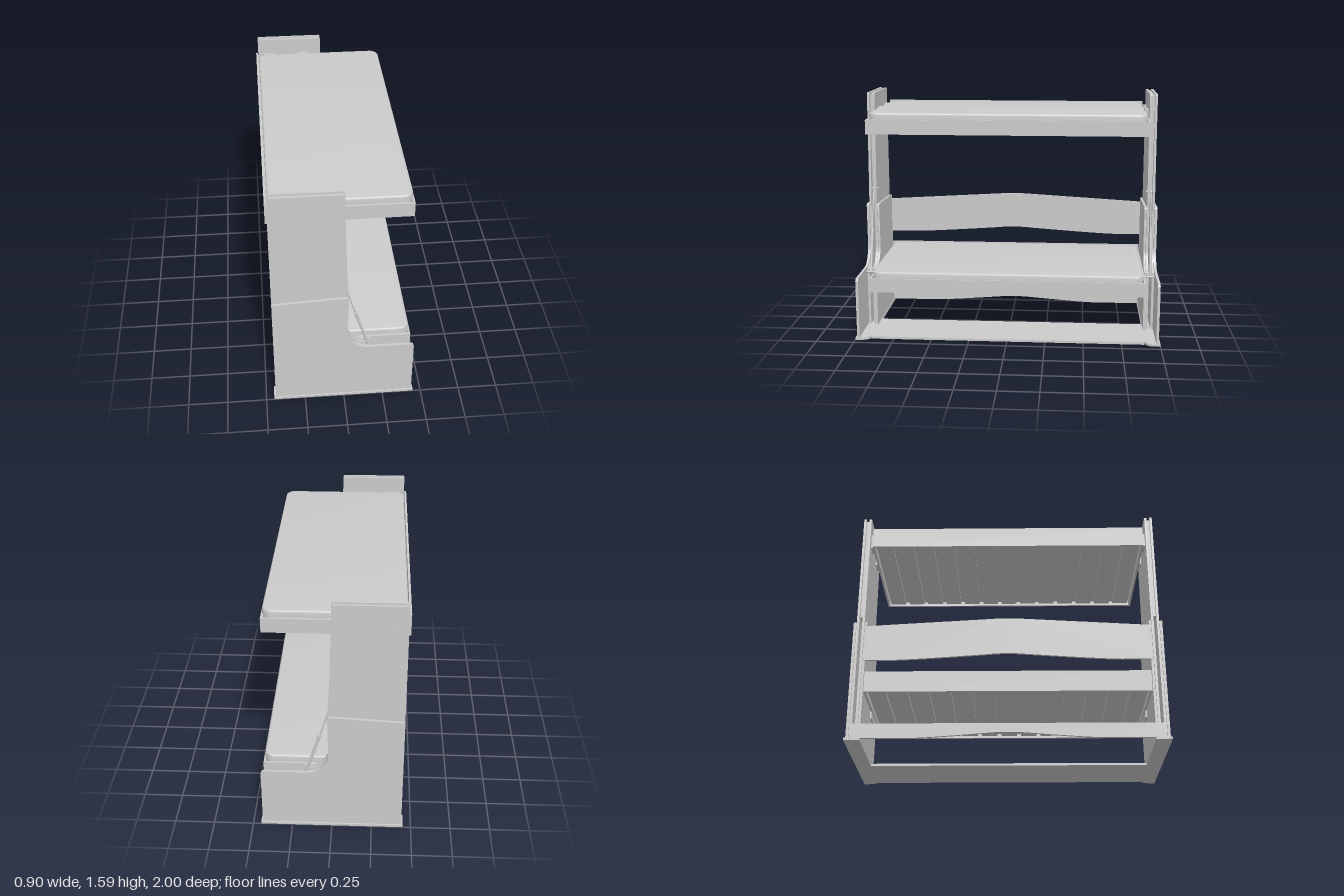
import * as THREE from 'three';
import { toCreasedNormals } from 'three/addons/utils/BufferGeometryUtils.js';

const material = new THREE.MeshStandardMaterial({ color: 0xcccccc });

function add(parent, name, geometry, x = 0, y = 0, z = 0) {
  const mesh = new THREE.Mesh(geometry, material);
  mesh.name = name;
  mesh.position.set(x, y, z);
  parent.add(mesh);
  return mesh;
}

// Box given by its limits on each axis
function box(parent, name, [x0, x1], [y0, y1], [z0, z1]) {
  return add(parent, name, new THREE.BoxGeometry(x1 - x0, y1 - y0, z1 - z0),
    (x0 + x1) / 2, (y0 + y1) / 2, (z0 + z1) / 2);
}

function extrude(shape, depth, bevel = 0) {
  return toCreasedNormals(new THREE.ExtrudeGeometry(shape, {
    depth, curveSegments: 10, bevelEnabled: bevel > 0,
    bevelSize: bevel, bevelThickness: bevel, bevelOffset: -bevel, bevelSegments: 4,
  }), 0.5);
}

// Round bar between two points
function rod(parent, name, a, b, radius) {
  const from = new THREE.Vector3(...a), to = new THREE.Vector3(...b);
  const dir = to.clone().sub(from);
  const mesh = add(parent, name, new THREE.CylinderGeometry(radius, radius, dir.length(), 16));
  mesh.position.copy(from).add(to).multiplyScalar(0.5);
  mesh.quaternion.setFromUnitVectors(new THREE.Vector3(0, 1, 0), dir.normalize());
}

// Lower cheek: tall at the back, scooped down to an armrest in front
function cheekShape(frontX, rounded) {
  const s = new THREE.Shape();
  s.moveTo(-0.44, 0.015);
  s.lineTo(frontX, 0.015);
  if (rounded) {
    s.lineTo(frontX, 0.39);
    s.quadraticCurveTo(frontX, 0.415, frontX - 0.025, 0.415);
  } else s.lineTo(frontX, 0.415);
  s.lineTo(0.155, 0.415);
  s.bezierCurveTo(0.08, 0.415, 0.02, 0.47, 0.02, 0.55);
  s.lineTo(0.026, 0.815);
  s.quadraticCurveTo(0.026, 0.832, 0, 0.831);
  s.lineTo(-0.44, 0.805);
  return s;
}

// Upright: runs from the base up to the top bunk
function uprightShape() {
  const s = new THREE.Shape();
  s.moveTo(-0.44, 0.015);
  s.lineTo(0.15, 0.015);
  s.lineTo(0.15, 0.405);
  s.bezierCurveTo(0.075, 0.41, 0.018, 0.47, 0.018, 0.55);
  s.lineTo(0.025, 0.83);
  s.lineTo(0.012, 1.1);
  s.lineTo(0.002, 1.4);
  s.lineTo(0, 1.578);
  s.quadraticCurveTo(0, 1.587, -0.008, 1.587);
  s.lineTo(-0.432, 1.587);
  s.quadraticCurveTo(-0.44, 1.587, -0.44, 1.578);
  return s;
}

function baseShape() {
  const s = new THREE.Shape();
  s.moveTo(-0.45, -0.05);
  s.lineTo(0.39, -0.05);
  s.quadraticCurveTo(0.45, -0.05, 0.45, 0.02);
  s.lineTo(0.45, 0.05);
  s.lineTo(-0.45, 0.05);
  return s;
}

function createEnd(side) {
  const end = new THREE.Group();
  end.name = side > 0 ? 'frontEnd' : 'rearEnd';
  const span = (a, b) => (side > 0 ? [a, b] : [-b, -a]);
  const plate = (name, shape, a, b) => add(end, name, extrude(shape, b - a), 0, 0, span(a, b)[0]);

  plate('outerCheek', cheekShape(0.44, true), 0.973, 0.99);
  plate('outerUpright', uprightShape(), 0.955, 0.971);
  plate('innerUpright', uprightShape(), 0.92, 0.936);
  plate('innerCheek', cheekShape(0.175, false), 0.903, 0.918);
  box(end, 'uprightSpacer', [-0.42, -0.03], [0.85, 1.575], span(0.936, 0.955));

  // Foot plate, rounded at its inner front corner
  const foot = add(end, 'footPlate', extrude(baseShape(), 0.015), 0, 0, side * 0.95);
  foot.rotation.x = side > 0 ? Math.PI / 2 : -Math.PI / 2;
  foot.position.y = side > 0 ? 0.015 : 0;

  // Bolt heads and the brackets they hold
  const bolts = [[-0.35, 1.46, 0.971], [-0.37, 1.405, 0.971], [-0.12, 1.46, 0.971],
    [-0.14, 1.405, 0.971], [-0.005, 0.935, 0.971], [-0.245, 0.395, 0.99]];
  for (const [x, y, z] of bolts) {
    rod(end, 'bolt', [x, y, side * (z - 0.06)], [x, y, side * (z + 0.002)], 0.008);
  }
  for (const x of [-0.36, -0.13]) {
    box(end, 'bunkBracket', [x - 0.04, x + 0.04], [1.385, 1.48], span(0.895, 0.92));
  }
  box(end, 'lowerBracket', [-0.1, 0.15], [0.275, 0.325], span(0.893, 0.904));

  // Gas strut in the slot between the uprights
  const z = side * 0.945;
  rod(end, 'strutPiston', [-0.005, 0.935, z], [0.08, 0.64, z], 0.005);
  rod(end, 'strutCollar', [0.073, 0.67, z], [0.083, 0.637, z], 0.011);
  rod(end, 'strutBody', [0.08, 0.65, z], [0.16, 0.385, z], 0.009);
  rod(end, 'strutPin', [0.16, 0.385, side * 0.905], [0.16, 0.385, side * 0.98], 0.007);
  return end;
}

function roundedRect(w, h, r) {
  const s = new THREE.Shape(), x = w / 2, y = h / 2;
  s.absarc(x - r, y - r, r, 0, Math.PI / 2);
  s.absarc(r - x, y - r, r, Math.PI / 2, Math.PI);
  s.absarc(r - x, r - y, r, Math.PI, Math.PI * 1.5);
  s.absarc(x - r, r - y, r, Math.PI * 1.5, Math.PI * 2);
  return s;
}

// Bunk: frame, slats and mattress, with its back edge at x = 0 and underside at y = 0
function createBunk(name, x, y, depth) {
  const bunk = new THREE.Group();
  bunk.name = name;
  bunk.position.set(x, y, 0);
  box(bunk, 'backRail', [0, 0.014], [0, 0.137], [-0.9, 0.9]);
  box(bunk, 'frontRail', [depth - 0.014, depth], [0, 0.093], [-0.9, 0.9]);
  for (const s of [-1, 1]) {
    box(bunk, 'endRail', [0.014, depth - 0.014], [0, 0.093], s > 0 ? [0.886, 0.9] : [-0.9, -0.886]);
  }
  for (let i = 0; i < 13; i++) {
    const z = (i - 6) * 0.137;
    box(bunk, 'slat', [0.014, depth - 0.014], [0.015, 0.03], [z - 0.055, z + 0.055]);
  }
  const w = depth - 0.024;
  const mattress = add(bunk, 'mattress', extrude(roundedRect(w, 1.766, 0.06), 0.081, 0.012),
    0.018 + w / 2, 0.042, 0);
  mattress.rotation.x = -Math.PI / 2;
  return bunk;
}

// Long board seen from the back, shape drawn along z and y
function board(parent, name, shape, x) {
  const mesh = add(parent, name, extrude(shape, 0.015), x + 0.015, 0, 0);
  mesh.rotation.y = -Math.PI / 2;
}

export function createModel() {
  const model = new THREE.Group();
  model.name = 'bunkBed';
  model.add(createEnd(1), createEnd(-1));
  model.add(createBunk('upperBunk', -0.455, 1.36, 0.865));
  model.add(createBunk('lowerBunk', -0.437, 0.323, 0.867));

  // Backrest with a gently peaked top and bottom
  const back = new THREE.Shape();
  back.moveTo(-0.903, 0.538);
  back.lineTo(-0.72, 0.538);
  back.quadraticCurveTo(-0.6, 0.54, -0.12, 0.575);
  back.quadraticCurveTo(0, 0.588, 0.12, 0.575);
  back.quadraticCurveTo(0.6, 0.54, 0.72, 0.538);
  back.lineTo(0.903, 0.538);
  back.lineTo(0.903, 0.777);
  back.lineTo(0.12, 0.823);
  back.quadraticCurveTo(0, 0.832, -0.12, 0.823);
  back.lineTo(-0.903, 0.777);
  board(model, 'backrest', back, -0.44);

  // Bottom stretcher, arched underneath
  const low = new THREE.Shape();
  low.moveTo(-0.955, 0.016);
  low.lineTo(-0.56, 0.016);
  low.quadraticCurveTo(-0.45, 0.02, -0.1, 0.049);
  low.quadraticCurveTo(0, 0.056, 0.1, 0.049);
  low.quadraticCurveTo(0.45, 0.02, 0.56, 0.016);
  low.lineTo(0.955, 0.016);
  low.lineTo(0.955, 0.11);
  low.lineTo(-0.955, 0.11);
  board(model, 'stretcher', low, -0.44);

  box(model, 'floorBoard', [0.05, 0.42], [0, 0.015], [-0.9, 0.9]);
  return model;
}
